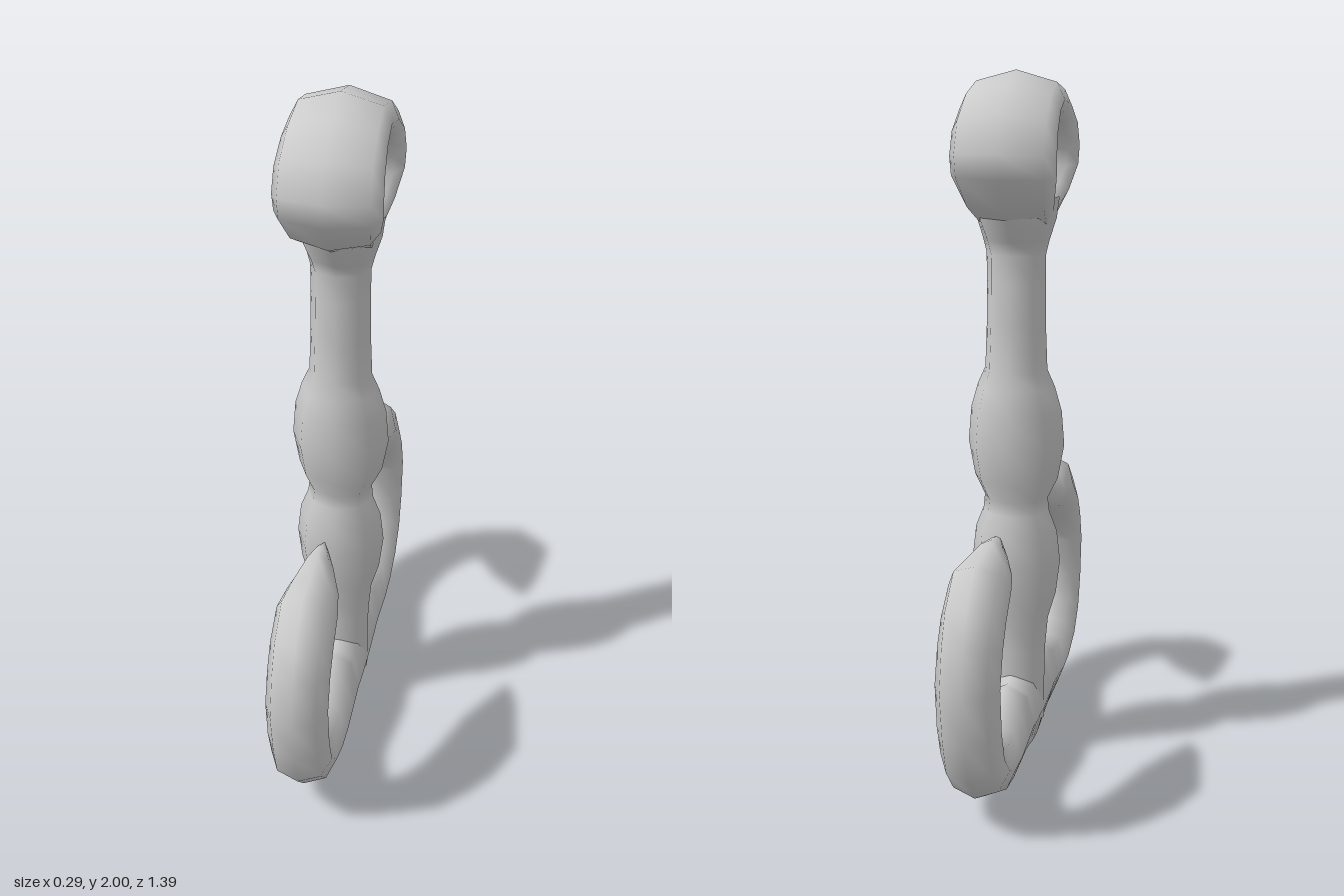
import * as THREE from 'three';
import { mergeVertices } from 'three/addons/utils/BufferGeometryUtils.js';

const material = new THREE.MeshStandardMaterial({ color: 0xcccccc });

// Skins eight-sided sections. Each station is
// [outer z, outer y, inner z, inner y, half width in x].
function loft(name, stations, cornerDepth = 0.71, cornerWidth = 0.71) {
  const ring = [[1, 0], [cornerDepth, cornerWidth], [0, 1], [-cornerDepth, cornerWidth],
    [-1, 0], [-cornerDepth, -cornerWidth], [0, -1], [cornerDepth, -cornerWidth]];
  const n = ring.length, positions = [], index = [];
  stations.forEach(([oz, oy, iz, iy, w], i) => {
    for (const [u, v] of ring) {
      positions.push(v * w, (oy + iy) / 2 + u * (oy - iy) / 2, (oz + iz) / 2 + u * (oz - iz) / 2);
    }
    if (i === 0) return;
    for (let j = 0; j < n; j++) {
      const a = (i - 1) * n + j, b = (i - 1) * n + (j + 1) % n;
      index.push(a, b, a + n, b, b + n, a + n);
    }
  });
  let geometry = new THREE.BufferGeometry();
  geometry.setAttribute('position', new THREE.Float32BufferAttribute(positions, 3));
  geometry.setIndex(index);
  geometry = mergeVertices(geometry, 1e-4);
  geometry.computeVertexNormals();
  const mesh = new THREE.Mesh(geometry, material);
  mesh.name = name;
  return mesh;
}

const mirrorZ = ([oz, oy, iz, iy, w]) => [-oz, oy, -iz, iy, w];

export function createModel() {
  const group = new THREE.Group();
  group.name = 'grapplingHook';

  // Shank with two swellings: [y, half width x, half depth z]
  const shank = [
    [0.1, 0.085, 0.09], [0.25, 0.085, 0.09], [0.33, 0.087, 0.087], [0.42, 0.095, 0.092],
    [0.5, 0.118, 0.105], [0.6, 0.13, 0.115], [0.69, 0.12, 0.108], [0.75, 0.097, 0.09],
    [0.79, 0.093, 0.085], [0.85, 0.122, 0.107], [0.95, 0.14, 0.12], [1.05, 0.132, 0.113],
    [1.12, 0.112, 0.1], [1.17, 0.09, 0.088], [1.3, 0.085, 0.083], [1.42, 0.084, 0.078],
    [1.5, 0.085, 0.07], [1.54, 0.095, 0.088], [1.6, 0.114, 0.13], [1.66, 0.122, 0.15],
  ];
  group.add(loft('shank', shank.map(([y, w, d]) => [d, y, -d, y, w])));

  // Eye at the top, from crown down one side to the neck
  const eye = [
    [0, 2, 0, 1.845, 0.135], [0.12, 1.97, 0.05, 1.828, 0.139], [0.22, 1.9, 0.082, 1.795, 0.144],
    [0.26, 1.8, 0.09, 1.765, 0.146], [0.25, 1.73, 0.08, 1.73, 0.144],
    [0.17, 1.63, 0.045, 1.7, 0.128], [0, 1.53, 0, 1.69, 0.105],
  ];
  group.add(loft('eye', [...eye.map(mirrorZ), ...eye.slice(0, -1).reverse()], 0.6, 0.83));

  // Crossbar and both hooked arms in one sweep, from the crown to the tip
  const arm = [
    [0, 0.003, 0, 0.27, 0.088], [0.06, 0.01, 0.07, 0.27, 0.088], [0.12, 0.025, 0.12, 0.252, 0.087],
    [0.155, 0.028, 0.155, 0.262, 0.087], [0.24, 0.03, 0.24, 0.242, 0.087],
    [0.33, 0.033, 0.32, 0.218, 0.087], [0.43, 0.048, 0.38, 0.215, 0.087],
    [0.545, 0.1, 0.455, 0.238, 0.088], [0.625, 0.185, 0.51, 0.285, 0.088],
    [0.665, 0.305, 0.54, 0.355, 0.088], [0.693, 0.45, 0.545, 0.465, 0.088],
    [0.665, 0.585, 0.51, 0.52, 0.088], [0.625, 0.675, 0.465, 0.56, 0.088],
    [0.53, 0.76, 0.41, 0.6, 0.086], [0.43, 0.757, 0.36, 0.625, 0.072],
    [0.33, 0.765, 0.305, 0.67, 0.042], [0.27, 0.757, 0.262, 0.71, 0.018],
    [0.23, 0.738, 0.23, 0.738, 0],
  ];
  group.add(loft('hookArms', [...arm.slice(1).reverse().map(mirrorZ), ...arm]));

  return group;
}
